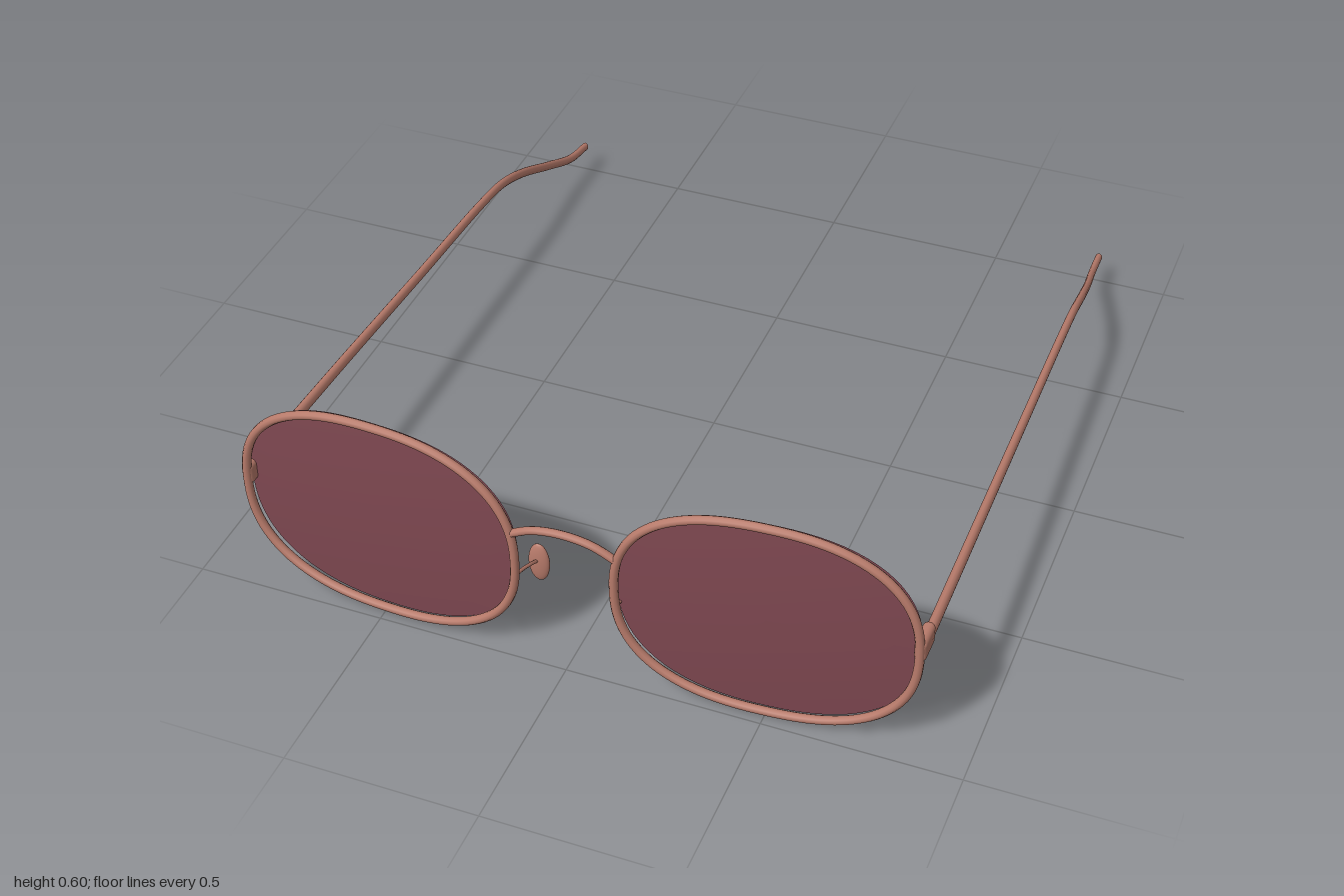
import * as THREE from 'three';
import { RoundedBoxGeometry } from 'three/addons/geometries/RoundedBoxGeometry.js';

const frameMat = new THREE.MeshStandardMaterial({ color: 0xb87b6b });
frameMat.name = 'rose metal';
const lensMat = new THREE.MeshStandardMaterial({ color: 0x7f4851, side: THREE.DoubleSide });
lensMat.name = 'tinted lens';

const CX = 0.495, CY = 0.302, RX = 0.368, RY = 0.289;
const rimZ = (x) => 0.988 - (x - 0.12) * 0.056;

// Rounded oval outline shared by rims and lenses
function oval(angle) {
  const c = Math.cos(angle), s = Math.sin(angle), n = 2.4;
  const r = Math.pow(Math.abs(c) ** n + Math.abs(s) ** n, -1 / n);
  return [c * r, s * r];
}

function add(parent, name, geometry, material = frameMat) {
  const mesh = new THREE.Mesh(geometry, material);
  mesh.name = name;
  parent.add(mesh);
  return mesh;
}

const curve = (points) => new THREE.CatmullRomCurve3(points.map((p) => new THREE.Vector3(...p)));

// Round tube whose radius tapers by the given end ratio and flattens sideways
function taperedTube(path, segments, radius, endRatio, flatX) {
  const sides = 12, geo = new THREE.TubeGeometry(path, segments, radius, sides);
  const pos = geo.attributes.position;
  for (let i = 0; i < pos.count; i++) {
    const t = Math.floor(i / (sides + 1)) / segments;
    const p = path.getPointAt(t), k = 1 + (endRatio - 1) * t;
    pos.setXYZ(i,
      p.x + (pos.getX(i) - p.x) * k * flatX,
      p.y + (pos.getY(i) - p.y) * k,
      p.z + (pos.getZ(i) - p.z) * k);
  }
  geo.computeVertexNormals();
  return geo;
}

// Shallow domed lens, slightly behind the rim
function lensGeometry(side) {
  const geo = new THREE.RingGeometry(0.001, 1, 80, 8);
  const pos = geo.attributes.position;
  for (let i = 0; i < pos.count; i++) {
    const x = pos.getX(i), y = pos.getY(i);
    const r = Math.hypot(x, y), [ox, oy] = oval(Math.atan2(y, x));
    const dx = ox * r * RX, dy = oy * r * RY;
    const base = 0.944 - side * dx * 0.06;
    pos.setXYZ(i, side * CX + dx, CY + dy, base + 0.015 * (1 - (dx * dx + dy * dy) / (RX * RX)));
  }
  geo.computeVertexNormals();
  return geo;
}

function buildSide(side) {
  const g = new THREE.Group();
  g.name = side > 0 ? 'leftSide' : 'rightSide';

  // Rim and lens
  const outline = [];
  for (let i = 0; i < 48; i++) {
    const [ox, oy] = oval((i / 48) * Math.PI * 2);
    const x = CX + ox * RX;
    outline.push(new THREE.Vector3(side * x, CY + oy * RY, rimZ(x)));
  }
  const rimPath = new THREE.CatmullRomCurve3(outline, true);
  add(g, 'rim', new THREE.TubeGeometry(rimPath, 120, 0.0115, 10, true));
  add(g, 'lens', lensGeometry(side), lensMat);

  // Hinge block at the outer edge
  const hinge = add(g, 'hinge', new RoundedBoxGeometry(0.03, 0.062, 0.085, 4, 0.014));
  hinge.position.set(side * 0.863, 0.318, 0.911);

  // Temple arm with a drooping, inward-bending tip
  const arm = curve([
    [side * 0.865, 0.317, 0.9], [side * 0.859, 0.302, 0.45], [side * 0.852, 0.283, 0],
    [side * 0.847, 0.269, -0.36], [side * 0.844, 0.254, -0.5], [side * 0.838, 0.217, -0.62],
    [side * 0.823, 0.152, -0.77], [side * 0.807, 0.1, -0.9], [side * 0.802, 0.083, -1],
  ]);
  add(g, 'temple', taperedTube(arm, 90, 0.0165, 0.75, 0.8));
  const cap = add(g, 'templeTip', new THREE.CircleGeometry(0.0124, 12));
  cap.scale.x = 0.8;
  cap.rotation.y = Math.PI;
  cap.position.set(side * 0.802, 0.083, -0.999);

  // Nose pad on its wire
  const wire = curve([
    [side * 0.133, 0.25, 0.985], [side * 0.132, 0.236, 0.94],
    [side * 0.127, 0.222, 0.9], [side * 0.124, 0.205, 0.866],
  ]);
  add(g, 'nosePadWire', new THREE.TubeGeometry(wire, 20, 0.0045, 8));
  const pad = add(g, 'nosePad', new THREE.SphereGeometry(1, 24, 16));
  pad.scale.set(0.028, 0.058, 0.012);
  pad.position.set(side * 0.122, 0.2, 0.865);
  return g;
}

export function createModel() {
  const model = new THREE.Group();
  model.name = 'sunglasses';
  for (const side of [1, -1]) model.add(buildSide(side));

  // Arched bridge joining the rims
  const bridge = curve([
    [-0.138, 0.39, 0.987], [-0.075, 0.42, 0.988], [0, 0.43, 0.988],
    [0.075, 0.42, 0.988], [0.138, 0.39, 0.987],
  ]);
  add(model, 'bridge', new THREE.TubeGeometry(bridge, 32, 0.0105, 10));
  return model;
}
